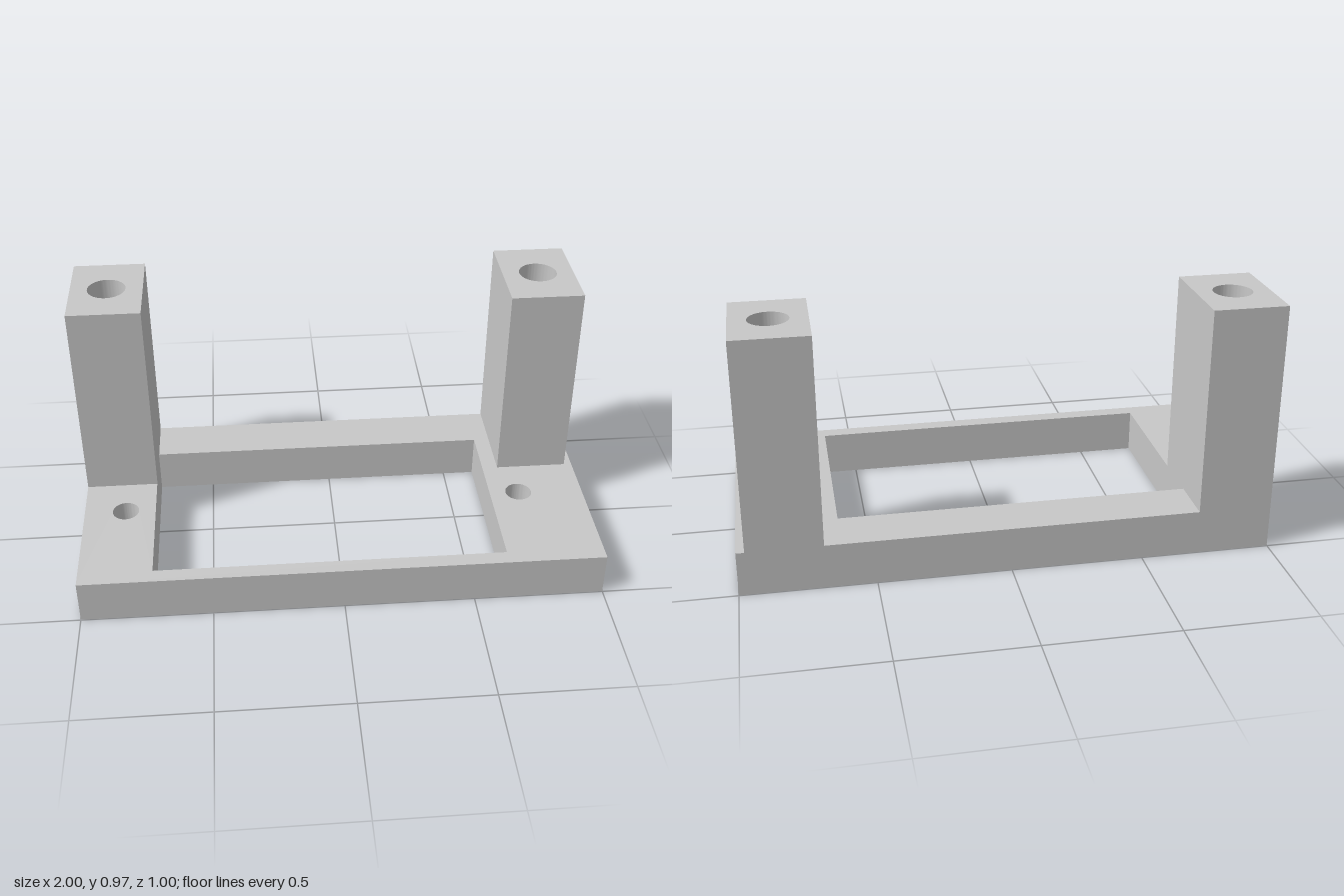
import * as THREE from 'three';
import { toCreasedNormals } from 'three/addons/utils/BufferGeometryUtils.js';

const BASE_TOP = 0.172, POST_TOP = 0.973, HALF_DEPTH = 0.498;

// Rectangle outline in plan; shape y is -z
function rectangle(x0, x1, z0, z1, Type) {
  const outline = new Type();
  outline.moveTo(x0, -z1);
  outline.lineTo(x1, -z1);
  outline.lineTo(x1, -z0);
  outline.lineTo(x0, -z0);
  outline.closePath();
  return outline;
}

function roundHole(x, z, radius) {
  const hole = new THREE.Path();
  hole.absarc(x, -z, radius, 0, Math.PI * 2, true);
  return hole;
}

// Extrudes a plan shape upward between two heights
function slab(name, shape, y0, y1, material) {
  const geometry = new THREE.ExtrudeGeometry(shape, {
    depth: y1 - y0, bevelEnabled: false, curveSegments: 40,
  });
  geometry.rotateX(-Math.PI / 2);
  geometry.translate(0, y0, 0);
  const mesh = new THREE.Mesh(toCreasedNormals(geometry, Math.PI / 6), material);
  mesh.name = name;
  return mesh;
}

export function createModel() {
  const group = new THREE.Group();
  group.name = 'mountingBracket';
  const lightGrey = new THREE.MeshStandardMaterial({ color: 0xc8c8c8 });
  lightGrey.name = 'lightGrey';

  // Base frame with an off-centre window and two screw holes
  const frame = rectangle(-1, 1, -HALF_DEPTH, HALF_DEPTH, THREE.Shape);
  frame.holes.push(
    rectangle(-0.72, 0.625, -0.303, 0.438, THREE.Path),
    roundHole(-0.838, 0.07, 0.052),
    roundHole(0.742, 0.07, 0.052),
  );
  group.add(slab('baseFrame', frame, 0, BASE_TOP, lightGrey));

  // Upright posts with bored holes that end on the base
  for (const [name, x0, x1] of [['rightPost', -1, -0.719], ['leftPost', 0.687, 0.969]]) {
    const post = rectangle(x0, x1, -HALF_DEPTH, -0.1, THREE.Shape);
    post.holes.push(roundHole((x0 + x1) / 2, -0.3, 0.074));
    group.add(slab(name, post, BASE_TOP, POST_TOP, lightGrey));
  }
  return group;
}
